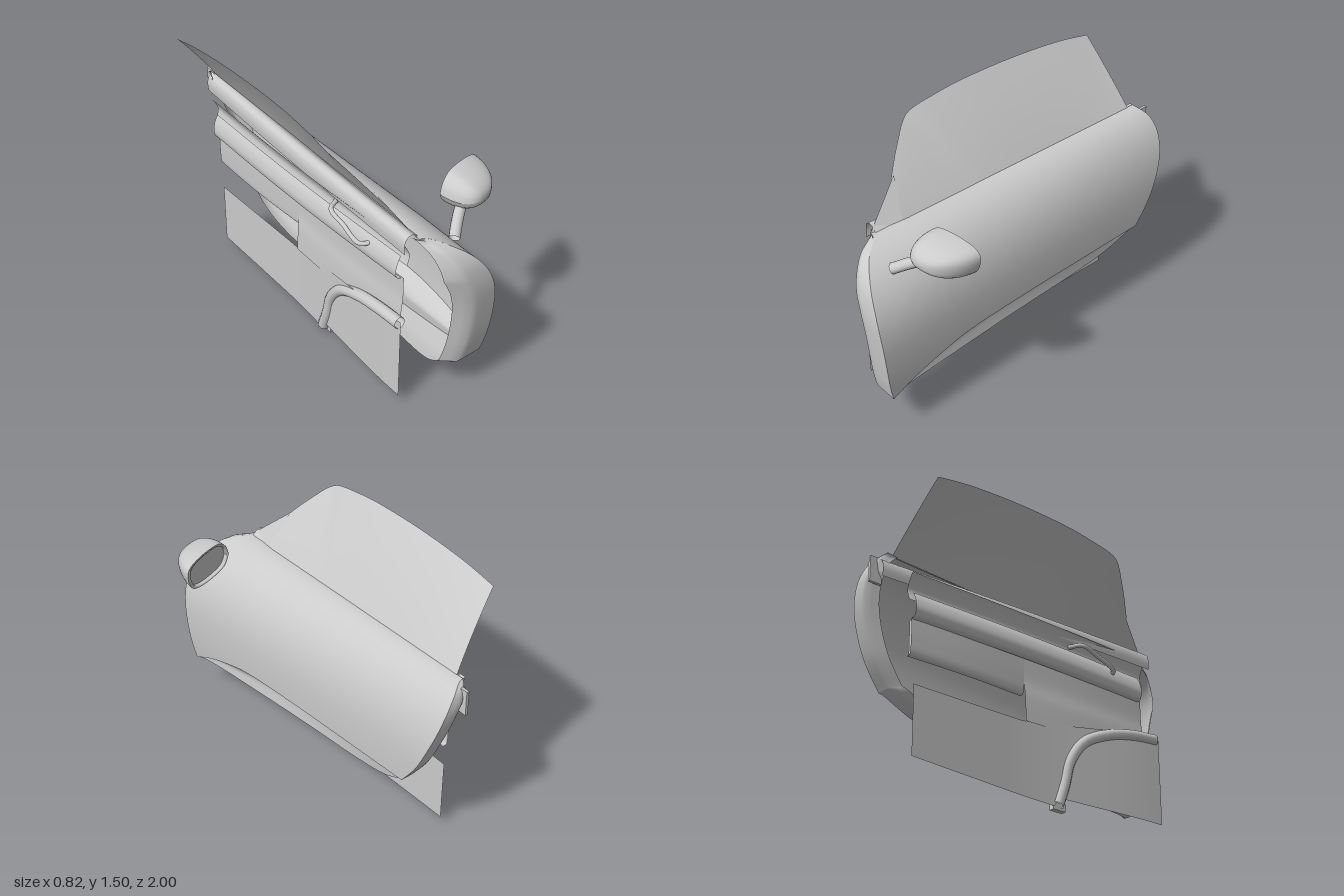
import * as THREE from 'three';

const V2 = (p) => p.map(([a, b]) => new THREE.Vector2(a, b));
const spline = (p) => new THREE.SplineCurve(V2(p));
const clamp = (t) => Math.min(1, Math.max(0, t));
const lerp = THREE.MathUtils.lerp;

function mesh(name, geometry) {
  const m = new THREE.Mesh(geometry, new THREE.MeshStandardMaterial({ color: 0xcccccc, side: THREE.DoubleSide }));
  m.name = name;
  return m;
}

// Smooth grid surface from fn(u, v) -> [x, y, z]
function patch(name, nu, nv, fn) {
  const pos = [], idx = [];
  for (let j = 0; j <= nv; j++) {
    for (let i = 0; i <= nu; i++) {
      pos.push(...fn(i / nu, j / nv));
      if (i < nu && j < nv) {
        const a = j * (nu + 1) + i, b = a + nu + 1;
        idx.push(a, b, a + 1, a + 1, b, b + 1);
      }
    }
  }
  const g = new THREE.BufferGeometry();
  g.setAttribute('position', new THREE.Float32BufferAttribute(pos, 3));
  g.setIndex(idx);
  g.computeVertexNormals();
  return mesh(name, g);
}

// Door outline curves as (z, y), u runs front to rear, v top to bottom
const beltY = (z) => 1.06 - 0.035 * z;
const topEdge = spline([0.8, 0.4, 0, -0.5, -0.93].map((z) => [z, beltY(z)]));
const crease = spline([[0.94, 0.24], [0.8, 0.315], [0.6, 0.385], [0.4, 0.425], [0, 0.448], [-0.4, 0.46], [-0.78, 0.47]]);
const bottomEdge = spline([[0.94, 0.24], [0.8, 0.235], [0.4, 0.25], [0, 0.275], [-0.35, 0.305], [-0.6, 0.365], [-0.78, 0.47]]);
const frontEdge = spline([[0.8, beltY(0.8)], [0.9, 0.99], [0.96, 0.92], [0.99, 0.83], [1, 0.7], [0.985, 0.5], [0.965, 0.35], [0.94, 0.24]]);
const rearEdge = spline([[-0.93, beltY(-0.93)], [-0.97, 1.05], [-0.985, 0.96], [-0.96, 0.82], [-0.88, 0.62], [-0.78, 0.47]]);

// Sideways bulge of the door skin
function skinX(z, y) {
  const d = Math.max(0, beltY(z) - y);
  const f = d < 0.5 ? Math.pow(1 - Math.pow(1 - d / 0.5, 2.4), 0.55) : 1 - 0.07 * ((d - 0.5) / 0.3) ** 2;
  const top = -0.145 - 0.03 * clamp((z - 0.6) / 0.3);
  return lerp(top, 0.125 + 0.053 * z, f);
}

// Concave recess under the crease
function sillPoint(u, v) {
  const p = crease.getPoint(u).lerp(bottomEdge.getPoint(u), v);
  const depth = 0.085 * Math.pow(Math.max(0, Math.sin(Math.PI * u)), 0.7);
  const k = Math.sin(Math.min(1, v * 1.7) * Math.PI / 2) - 0.2 * v * v;
  return [skinX(p.x, p.y) - depth * k, p.y, p.x];
}

function skinPoint(u, v0) {
  const v = Math.pow(v0, 1.5);
  const t = topEdge.getPoint(u), b = crease.getPoint(u), f = frontEdge.getPoint(v), r = rearEdge.getPoint(v);
  const blend = (k) => {
    const c00 = topEdge.points[0][k], c10 = topEdge.points[4][k], c01 = crease.points[0][k], c11 = crease.points[6][k];
    return lerp(t[k], b[k], v) + lerp(f[k], r[k], u) - lerp(lerp(c00, c10, u), lerp(c01, c11, u), v);
  };
  const z = blend('x'), y = blend('y');
  return [skinX(z, y), y, z];
}

// Edge return along front, bottom and rear: a flat band, then an inward fold
function flange(name, edge) {
  return patch(name, 40, 6, (u, v) => {
    const [x, y, z] = edge(u);
    const w = Math.min(lerp(0.13, 0.23, clamp((z - 0.3) / 0.6)), Math.max(0, x + 0.18) * 0.78);
    const fold = Math.max(0, v - 0.65) / 0.35;
    return [x - w * v, y + (0.65 - y) * 0.03 * fold, z * (1 - 0.06 * fold)];
  });
}
const onSkin = (curve) => (u) => {
  const p = curve.getPoint(u);
  return [skinX(p.x, p.y), p.y, p.x];
};

// Upper outline of the side window
const glassTop = spline([[0.6, 1.21], [0.5, 1.33], [0.38, 1.44], [0.2, 1.48], [0, 1.5], [-0.3, 1.503], [-0.6, 1.485], [-0.82, 1.45]]);

// Wing mirror shell, tapered from a tilted rear rim to a rounded nose
const rim = spline([[0.1, 1.08], [0.115, 1.13], [0.15, 1.168], [0.2, 1.182], [0.3, 1.175], [0.38, 1.15],
  [0.41, 1.11], [0.4, 1.045], [0.37, 1.003], [0.3, 0.99], [0.2, 1.0], [0.13, 1.025], [0.1, 1.08]]);
function mirrorRing(u, k, push) {
  const p = rim.getPoint(u);
  const x = lerp(0.25, p.x, k), y = lerp(1.085, p.y, k);
  return [x, y, 0.645 - (x - 0.105) * 0.25 + push];
}

// Trim section swept along the door from rear to front, bowed toward the cabin;
// rearShift moves its rear end toward the skin
function trim(name, profile, z0, z1, bow, rearShift = 0) {
  const c = spline(profile);
  return patch(name, 24, 24, (u, v) => {
    const p = c.getPoint(v);
    return [p.x - bow * Math.sin(Math.PI * u) + rearShift * (1 - u), p.y, lerp(z0, z1, u)];
  });
}

function tube(name, pts, r, sx = 1) {
  const curve = new THREE.CatmullRomCurve3(pts.map((p) => new THREE.Vector3(p[0] / sx, p[1], p[2])));
  const g = new THREE.TubeGeometry(curve, 48, r, 12, false);
  g.scale(sx, 1, 1);
  return mesh(name, g);
}

function box(name, w, h, d, x, y, z) {
  const m = mesh(name, new THREE.BoxGeometry(w, h, d));
  m.position.set(x, y, z);
  return m;
}

export function createModel() {
  const door = new THREE.Group();
  door.name = 'carDoor';

  // Outer shell
  door.add(patch('outerSkin', 48, 48, skinPoint));
  door.add(patch('sillRecess', 48, 16, sillPoint));
  door.add(flange('frontFlange', onSkin(frontEdge)));
  door.add(flange('rearFlange', onSkin(rearEdge)));
  door.add(flange('bottomFlange', (u) => sillPoint(u, 1)));

  // Window leaning inward, and corner sail
  door.add(patch('windowGlass', 40, 16, (u, v) => {
    const t = glassTop.getPoint(u);
    const lean = 0.268 * Math.min(1, (t.y - 1.03) / 0.41);
    return [-0.142 - lean * v * (0.88 + 0.12 * v), lerp(lerp(1.03, 1.09, u), t.y, v), lerp(lerp(0.62, -0.89, u), t.x, v)];
  }));
  door.add(patch('cornerSail', 8, 8, (u, v) => {
    const out = u * (1 - v);
    return [-0.142 - 0.025 * out - 0.12 * v, lerp(1.03, 1.23, v), lerp(0.62, 0.58, v) + 0.18 * out];
  }));

  // Wing mirror
  const mirror = new THREE.Group();
  mirror.name = 'wingMirror';
  mirror.add(patch('mirrorHousing', 40, 14, (u, v) => {
    const a = v * Math.PI / 2;
    return mirrorRing(u, Math.cos(a) ** 0.85, 0.2 * Math.sin(a));
  }));
  mirror.add(patch('mirrorRim', 40, 2, (u, v) => mirrorRing(u, 1 - 0.12 * Math.min(1, v * 2), v > 0.6 ? 0.02 : 0)));
  mirror.add(patch('mirrorGlass', 40, 1, (u, v) => mirrorRing(u, 0.88 * (1 - v), 0.02)));
  mirror.add(tube('mirrorStalk', [[0.04, 0.95, 0.825], [0.1, 0.99, 0.775], [0.19, 1.045, 0.71]], 0.029));
  door.add(mirror);

  // Lower inner panel, stepping into the cabin toward the front, with its curved moulding
  const panelX = (z) => -0.205 - 0.06 * THREE.MathUtils.smoothstep(z, -0.2, 0.8);
  door.add(patch('lowerPanel', 40, 8, (u, v) => {
    const z = lerp(0.8, -0.78, u);
    const low = z > 0.1 ? 0.06 : lerp(0.012, 0.055, (0.1 - z) / 0.88);
    return [panelX(z), lerp(low, lerp(0.56, 0.42, clamp((0.8 - z) / 0.9)), v), z];
  }));
  const arc = [[0.025, 0.12], [0.14, 0.16], [0.28, 0.2], [0.4, 0.29], [0.48, 0.45], [0.52, 0.62], [0.535, 0.78]];
  door.add(tube('curvedMoulding', arc.map(([y, z]) => [panelX(z) + 0.012, y, z]), 0.032));
  door.add(box('mouldingFoot', 0.03, 0.04, 0.08, -0.19, 0.022, 0.135));

  // Middle and upper trim
  door.add(trim('middlePanel', [[-0.215, 0.42], [-0.21, 0.55], [-0.2, 0.65], [-0.2, 0.77]], -0.09, 0.74, 0.01));
  door.add(trim('rearPocketPanel', [[-0.17, 0.57], [-0.195, 0.58], [-0.2, 0.66], [-0.2, 0.77]], -0.8, -0.09, 0.01));
  door.add(box('storagePocket', 0.05, 0.18, 0.68, -0.168, 0.69, -0.43));
  door.add(trim('armrest', [[-0.2, 0.76], [-0.225, 0.77], [-0.235, 0.81], [-0.225, 0.86], [-0.205, 0.9]], -0.8, 0.72, 0.015));
  door.add(trim('upperPanel', [[-0.2, 0.86], [-0.185, 0.92], [-0.21, 0.98], [-0.225, 1.0]], -0.82, 0.76, 0.015));
  door.add(trim('beltTrim', [[-0.235, 0.96], [-0.238, 1.01], [-0.225, 1.05], [-0.19, 1.06], [-0.15, 1.03]], -0.95, 0.78, 0.01, 0.08));
  door.add(tube('pullHandle', [[-0.2, 0.86, 0.52], [-0.265, 0.855, 0.48], [-0.27, 0.9, 0.36], [-0.265, 0.93, 0.26], [-0.2, 0.93, 0.22]], 0.012));
  door.add(box('latchPlate', 0.015, 0.14, 0.07, -0.115, 1.0, -0.965));
  return door;
}
